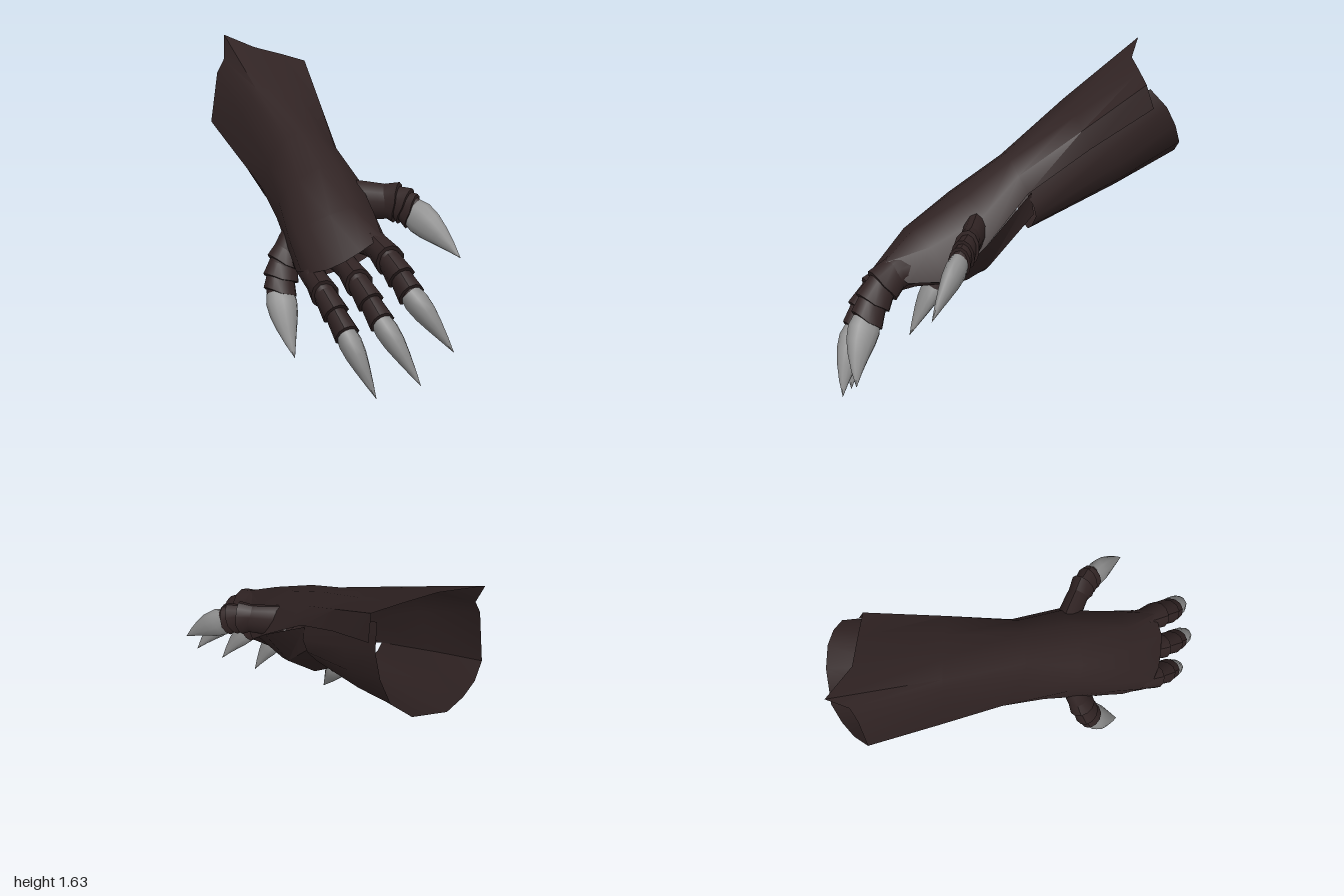
import * as THREE from 'three';
import { toCreasedNormals } from 'three/addons/utils/BufferGeometryUtils.js';

const V = (p) => new THREE.Vector3(...p);

// Skin between cross-sections that all have the same number of points
function loft(sections, closed, crease = 0.6) {
  const pos = [], n = sections[0].length, m = closed ? n : n - 1;
  const tri = (...pts) => pts.forEach((p) => pos.push(p.x, p.y, p.z));
  for (let i = 0; i < sections.length - 1; i++) {
    for (let j = 0; j < m; j++) {
      const k = (j + 1) % n;
      const a = sections[i][j], b = sections[i][k], c = sections[i + 1][k], d = sections[i + 1][j];
      tri(a, b, c);
      tri(a, c, d);
    }
  }
  const g = new THREE.BufferGeometry();
  g.setAttribute('position', new THREE.Float32BufferAttribute(pos, 3));
  g.computeVertexNormals();
  return toCreasedNormals(g, crease);
}

// Oval ring on a curve; peak pulls its upper edge back towards the hand
function ring(curve, t, dorsal, a, b, peak = 0, sides = 12) {
  const c = curve.getPoint(t), T = curve.getTangent(t);
  const D = dorsal.clone().addScaledVector(T, -dorsal.dot(T)).normalize();
  const S = new THREE.Vector3().crossVectors(D, T);
  return Array.from({ length: sides }, (_, i) => {
    const w = (i / sides) * Math.PI * 2;
    return c.clone().addScaledVector(D, Math.cos(w) * b).addScaledVector(S, Math.sin(w) * a)
      .addScaledVector(T, -peak * Math.max(0, Math.cos(w)));
  });
}

export function createModel() {
  const leather = new THREE.MeshStandardMaterial({ color: 0x302323, side: THREE.DoubleSide });
  leather.name = 'dark brown leather';
  const horn = new THREE.MeshStandardMaterial({ color: 0x8e8e8e, side: THREE.DoubleSide });
  horn.name = 'grey claw';

  const model = new THREE.Group();
  model.name = 'clawedGauntlet';
  const add = (parent, name, geo, mat) => {
    const mesh = new THREE.Mesh(geo, mat);
    mesh.name = name;
    parent.add(mesh);
  };
  const sheet = (name, rows, crease) =>
    add(model, name, loft(rows.map((r) => r.map(V)), false, crease), leather);

  // Back plate from the pointed rear corner, folded on its left, to the knuckles
  sheet('backPlate', [
    [[-0.64, 1.13, -0.75], [-0.6, 1.42, -0.76], [-0.56, 1.5, -0.79], [-0.56, 1.64, -0.88], [-0.38, 1.57, -0.78], [-0.22, 1.53, -0.77], [-0.08, 1.49, -0.76], [-0.06, 1.36, -0.8]],
    [[-0.49, 0.985, -0.42], [-0.45, 1.2, -0.38], [-0.4, 1.32, -0.38], [-0.37, 1.36, -0.38], [-0.26, 1.35, -0.38], [-0.13, 1.33, -0.38], [-0.01, 1.28, -0.38], [0.01, 1.18, -0.42]],
    [[-0.34, 0.84, -0.1], [-0.3, 0.97, -0.03], [-0.25, 1.07, 0.01], [-0.2, 1.12, 0.02], [-0.13, 1.15, 0.01], [-0.04, 1.14, 0], [0.05, 1.08, -0.02], [0.09, 0.99, -0.06]],
    [[-0.26, 0.71, 0.12], [-0.25, 0.82, 0.25], [-0.21, 0.9, 0.3], [-0.15, 0.95, 0.32], [-0.05, 1, 0.3], [0.06, 1, 0.26], [0.17, 0.92, 0.2], [0.24, 0.78, 0.2]],
    [[-0.2, 0.59, 0.4], [-0.2, 0.67, 0.5], [-0.17, 0.72, 0.55], [-0.11, 0.77, 0.58], [-0.01, 0.82, 0.59], [0.1, 0.85, 0.56], [0.22, 0.8, 0.48], [0.28, 0.62, 0.4]],
    [[-0.17, 0.53, 0.56], [-0.15, 0.56, 0.66], [-0.1, 0.57, 0.73], [-0.03, 0.59, 0.76], [0.05, 0.63, 0.77], [0.13, 0.68, 0.77], [0.23, 0.74, 0.73], [0.29, 0.64, 0.62]],
  ], 0.9);

  // Underside of the cuff
  sheet('cuff', [
    [[-0.64, 1.13, -0.75], [-0.58, 1.08, -0.83], [-0.5, 1.05, -0.9], [-0.4, 1.03, -0.965], [-0.22, 1.06, -1], [-0.12, 1.14, -0.985], [-0.08, 1.25, -0.94], [-0.07, 1.36, -0.88], [-0.1, 1.46, -0.79]].reverse(),
    [[-0.55, 1.045, -0.55], [-0.49, 0.97, -0.58], [-0.43, 0.92, -0.6], [-0.33, 0.895, -0.62], [-0.16, 0.91, -0.63], [-0.07, 0.97, -0.62], [-0.02, 1.07, -0.6], [-0.01, 1.18, -0.56], [-0.05, 1.3, -0.5]].reverse(),
    [[-0.34, 0.84, -0.1], [-0.32, 0.79, -0.1], [-0.27, 0.74, -0.1], [-0.2, 0.72, -0.1], [-0.06, 0.73, -0.1], [0.02, 0.78, -0.1], [0.07, 0.85, -0.11], [0.09, 0.92, -0.09], [0.06, 1.02, -0.04]].reverse(),
  ], 1);

  // Palm, ending where the fingers come out
  sheet('palm', [
    [[-0.32, 0.86, -0.1], [-0.2, 0.77, -0.07], [-0.04, 0.77, -0.07], [0.06, 0.86, -0.1], [0.08, 0.99, -0.08]].reverse(),
    [[-0.26, 0.71, 0.12], [-0.17, 0.53, 0.15], [-0.03, 0.52, 0.15], [0.12, 0.61, 0.16], [0.24, 0.78, 0.2]].reverse(),
    [[-0.22, 0.64, 0.28], [-0.15, 0.46, 0.28], [-0.01, 0.48, 0.28], [0.13, 0.55, 0.28], [0.26, 0.7, 0.3]].reverse(),
    [[-0.2, 0.59, 0.4], [-0.12, 0.46, 0.4], [0, 0.48, 0.4], [0.14, 0.53, 0.4], [0.28, 0.62, 0.4]].reverse(),
  ], 0.6);

  // Digits: path to the claw root, claw tip, upper direction, half width and half depth, first band position, claw arch
  const digits = [
    { name: 'innerFinger', path: [[-0.12, 0.55, 0.4], [-0.09, 0.53, 0.63], [-0.03, 0.45, 0.76], [0.06, 0.29, 0.85]], tip: [0.19, 0.01, 0.93], up: [-0.1, 0.5, 0.9], a: 0.056, b: 0.078, start: 0.42, arch: 0.03 },
    { name: 'middleFinger', path: [[0.02, 0.59, 0.4], [0.06, 0.59, 0.65], [0.13, 0.51, 0.8], [0.22, 0.36, 0.89]], tip: [0.39, 0.09, 0.99], up: [-0.1, 0.5, 0.9], a: 0.056, b: 0.078, start: 0.42, arch: 0.03 },
    { name: 'outerFinger', path: [[0.16, 0.67, 0.42], [0.2, 0.69, 0.63], [0.28, 0.61, 0.77], [0.36, 0.48, 0.85]], tip: [0.55, 0.23, 0.93], up: [-0.1, 0.5, 0.9], a: 0.06, b: 0.084, start: 0.42, arch: 0.03 },
    { name: 'thumb', path: [[0.12, 0.83, 0.23], [0.25, 0.83, 0.28], [0.36, 0.825, 0.33], [0.43, 0.785, 0.38]], tip: [0.64, 0.59, 0.56], up: [0.3, 1, 0], a: 0.054, b: 0.086, start: 0.48, arch: 0.02 },
    { name: 'littleFinger', path: [[-0.13, 0.67, 0.27], [-0.2, 0.57, 0.31], [-0.24, 0.47, 0.35], [-0.25, 0.37, 0.39]], tip: [-0.18, 0.09, 0.56], up: [-1, 0, 0.15], a: 0.058, b: 0.08, start: 0.3, arch: 0.012 },
  ];

  for (const { name, path, tip, up, a, b, start, arch } of digits) {
    const group = new THREE.Group();
    group.name = name;
    model.add(group);
    const D = V(up).normalize();
    const curve = new THREE.CatmullRomCurve3(path.map(V));

    // Core under the bands
    const core = [0, 0.2, 0.4, 0.6, 0.8, 1].map((t) => ring(curve, t, D, a * (1.2 - 0.35 * t), b * (1.2 - 0.35 * t)));
    add(group, name + 'Core', loft(core, true, 0.8), leather);

    // Three overlapping flared bands
    for (let i = 0; i < 3; i++) {
      const step = (1 - start) / 3, t0 = start + i * step, t1 = Math.min(1, t0 + step * 1.08);
      const s = 1.1 - 0.06 * i;
      const band = [
        ring(curve, t0, D, a * s * 0.92, b * s * 0.92, 0.03),
        ring(curve, t1, D, a * s * 1.14, b * s * 1.1, 0.03),
        ring(curve, t1, D, a * s * 0.85, b * s * 0.85, 0.02),
      ];
      add(group, name + 'Band', loft(band, true, 0.7), leather);
    }

    // Curved claw
    const root = curve.getPoint(0.97), end = V(tip);
    const mid = root.clone().lerp(end, 0.5).addScaledVector(D, arch);
    const arc = new THREE.QuadraticBezierCurve3(root, mid, end);
    const profile = [[0, 0.01], [0, 0.87], [0.15, 1], [0.35, 0.9], [0.55, 0.66], [0.78, 0.34], [1, 0.005]];
    const claw = profile.map(([t, r]) => ring(arc, t, D, a * r, b * r));
    add(group, name + 'Claw', loft(claw, true, 1), horn);
  }
  return model;
}
